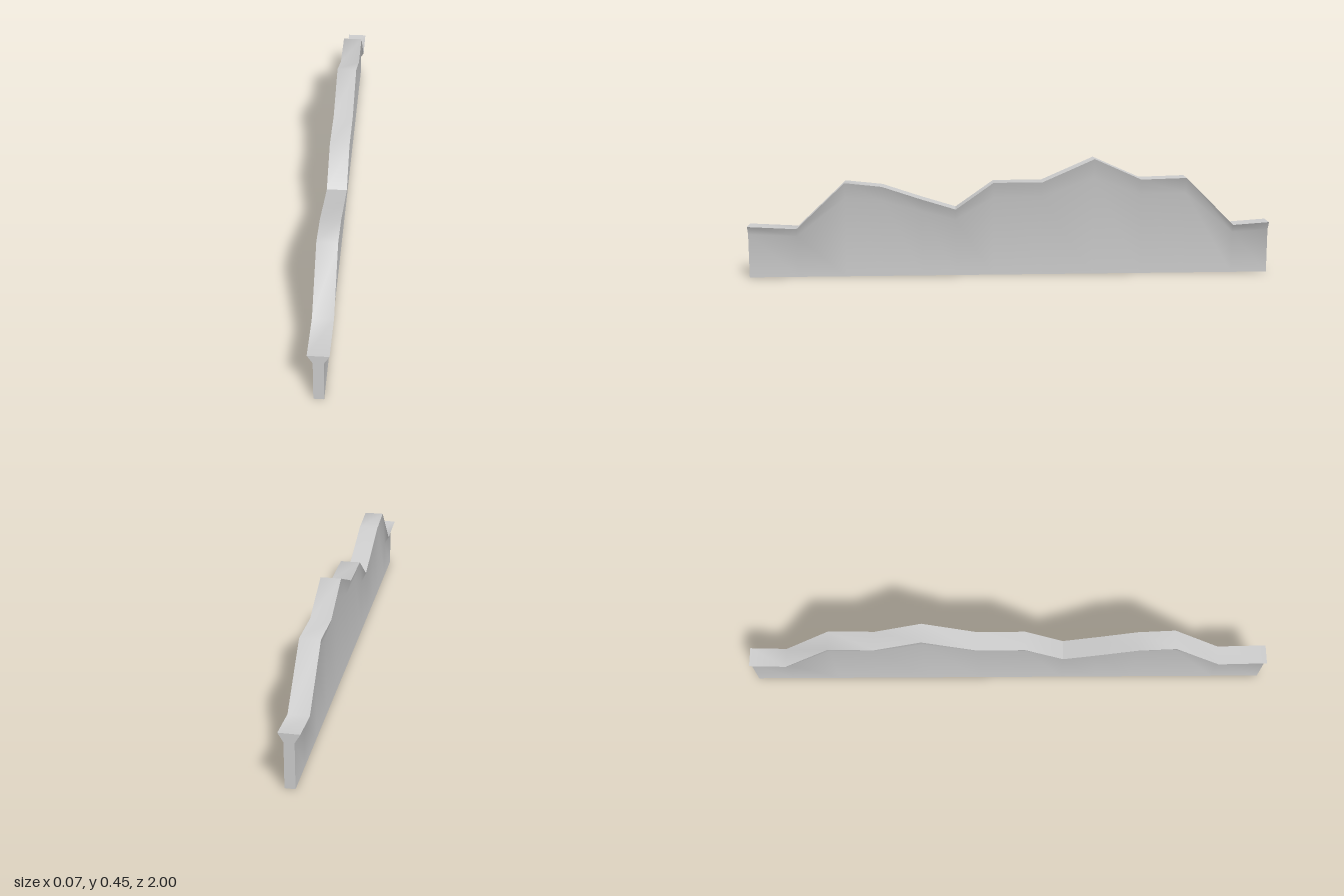
import * as THREE from 'three';
import { toCreasedNormals } from 'three/addons/utils/BufferGeometryUtils.js';

// Ridge line as [z, height], from front to back
const RIDGE = [
  [1, 0.2], [0.815, 0.19], [0.63, 0.365], [0.49, 0.35], [0.34, 0.3], [0.21, 0.26], [0.065, 0.362],
  [-0.12, 0.362], [-0.32, 0.45], [-0.5, 0.37], [-0.675, 0.375], [-0.86, 0.19], [-1, 0.2],
];
const STEM = 0.018;   // half thickness of the wall
const CAP = 0.037;    // half thickness at the ridge
const FLARE = 0.837;  // share of the height where the wall starts to widen

// Cross-section: a thin wall flaring out to a wider top, counter-clockwise seen from the front
const section = ([z, h]) => [
  [-STEM, 0, z], [STEM, 0, z], [STEM, h * FLARE, z],
  [CAP, h, z], [-CAP, h, z], [-STEM, h * FLARE, z],
];

function wallGeometry() {
  const positions = RIDGE.flatMap((p) => section(p).flat());
  const n = 6;
  const index = [];
  // Skin between neighbouring sections
  for (let i = 0; i < RIDGE.length - 1; i++) {
    for (let j = 0; j < n; j++) {
      const a = i * n + j;
      const b = i * n + (j + 1) % n;
      index.push(a, a + n, b, b, a + n, b + n);
    }
  }
  // End faces: the stem and the flare above it
  const last = (RIDGE.length - 1) * n;
  for (const [a, b, c, d] of [[0, 1, 2, 5], [5, 2, 3, 4]]) {
    index.push(a, b, c, a, c, d);
    index.push(last + a, last + c, last + b, last + a, last + d, last + c);
  }
  const geometry = new THREE.BufferGeometry();
  geometry.setAttribute('position', new THREE.Float32BufferAttribute(positions, 3));
  geometry.setIndex(index);
  return toCreasedNormals(geometry, 0.9);
}

export function createModel() {
  const group = new THREE.Group();
  group.name = 'ridgedWall';
  const wall = new THREE.Mesh(wallGeometry(), new THREE.MeshStandardMaterial({ color: 0xcccccc }));
  wall.name = 'wall';
  group.add(wall);
  return group;
}
